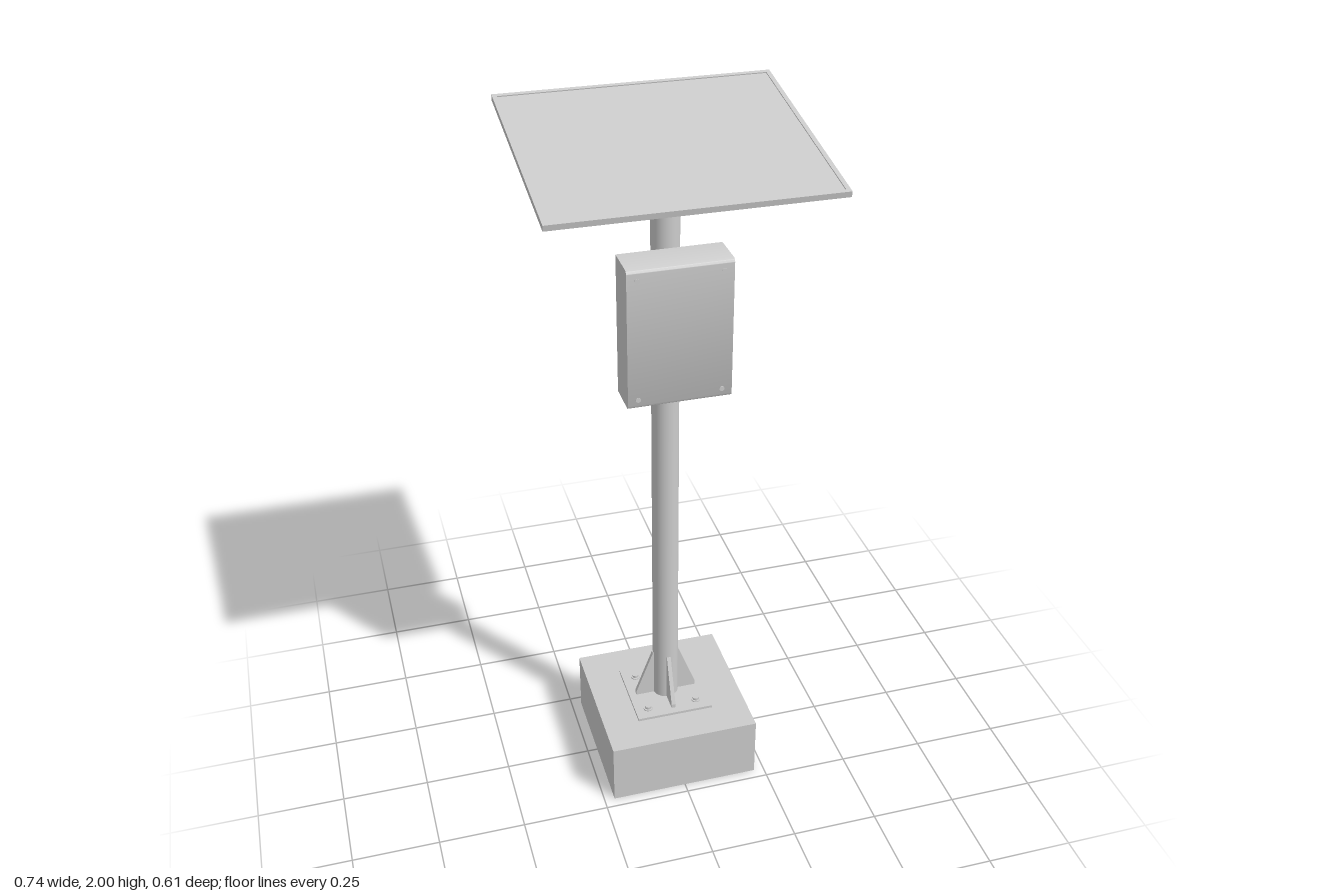
import * as THREE from 'three';
import { toCreasedNormals } from 'three/addons/utils/BufferGeometryUtils.js';

const TILT = THREE.MathUtils.degToRad(10);
const material = new THREE.MeshStandardMaterial({ color: 0xcccccc });

function add(parent, name, geometry, x = 0, y = 0, z = 0) {
  const mesh = new THREE.Mesh(geometry, material);
  mesh.name = name;
  mesh.position.set(x, y, z);
  parent.add(mesh);
  return mesh;
}

const box = (w, h, d) => new THREE.BoxGeometry(w, h, d);
const disc = (r, h, sides = 16) => new THREE.CylinderGeometry(r, r, h, sides);

// Rectangle outline centred on the origin
function rectangle(Type, w, h) {
  return new Type([[-1, -1], [1, -1], [1, 1], [-1, 1]].map(([x, y]) => new THREE.Vector2(x * w / 2, y * h / 2)));
}

// Calls fn once for each corner of a w x h rectangle
function eachCorner(w, h, fn) {
  for (const x of [-1, 1]) for (const y of [-1, 1]) fn(x * w / 2, y * h / 2);
}

function createFooting() {
  const footing = new THREE.Group();
  footing.name = 'footing';
  add(footing, 'concreteBlock', box(0.44, 0.19, 0.44), 0, 0.095, 0);
  add(footing, 'basePlate', box(0.23, 0.008, 0.23), 0, 0.194, 0);

  // Anchor bolts with washers and hex nuts
  eachCorner(0.15, 0.15, (x, z) => {
    add(footing, 'washer', disc(0.014, 0.003, 24), x, 0.1995, z);
    add(footing, 'anchorNut', disc(0.01, 0.008, 6), x, 0.204, z);
  });

  // Four triangular gussets around the pole
  const outline = new THREE.Shape([[0.03, 0], [0.093, 0], [0.093, 0.012], [0.04, 0.152], [0.03, 0.152]]
    .map(([x, y]) => new THREE.Vector2(x, y)));
  const gusset = new THREE.ExtrudeGeometry(outline, { depth: 0.012, bevelEnabled: false });
  gusset.translate(0, 0.198, -0.006);
  for (let i = 0; i < 4; i++) add(footing, 'gusset', gusset).rotation.y = i * Math.PI / 2;
  return footing;
}

function createControlBox() {
  const group = new THREE.Group();
  group.name = 'controlBox';

  // Side profile with softened front edges, extruded across the width
  const r = 0.01, z0 = 0.038, z1 = 0.143, y0 = 1.29, y1 = 1.68;
  const side = new THREE.Shape();
  side.moveTo(z0, y0);
  side.lineTo(z1 - r, y0);
  side.absarc(z1 - r, y0 + r, r, -Math.PI / 2, 0);
  side.lineTo(z1, y1 - r);
  side.absarc(z1 - r, y1 - r, r, 0, Math.PI / 2);
  side.lineTo(z0, y1);
  const body = new THREE.ExtrudeGeometry(side, { depth: 0.28, bevelEnabled: false, curveSegments: 6 });
  body.translate(0, 0, -0.14).rotateY(-Math.PI / 2);
  add(group, 'enclosure', toCreasedNormals(body, 0.6));

  // Cover screws
  eachCorner(0.225, 0.335, (x, y) => {
    add(group, 'coverScrew', disc(0.007, 0.004), x, 1.483 + y, z1).rotation.x = Math.PI / 2;
  });

  // Clamp band on the pole with two bolts at the back
  add(group, 'clampBand', disc(0.041, 0.09, 40), 0, 1.515, 0);
  for (const y of [1.49, 1.54]) {
    add(group, 'clampBolt', disc(0.008, 0.01, 12), 0, y, -0.043).rotation.x = Math.PI / 2;
  }
  return group;
}

function createPanel() {
  const panel = new THREE.Group();
  panel.name = 'solarPanel';
  const w = 0.742, d = 0.615, t = 0.0155, rim = 0.012;

  // Rim frame with the slab set slightly below its top and bottom
  const outline = rectangle(THREE.Shape, w, d);
  outline.holes.push(rectangle(THREE.Path, w - 2 * rim, d - 2 * rim));
  const frame = new THREE.ExtrudeGeometry(outline, { depth: t, bevelEnabled: false });
  frame.translate(0, 0, -t / 2).rotateX(-Math.PI / 2);
  add(panel, 'panelFrame', frame);
  add(panel, 'panelSlab', box(w - 2 * rim, 0.009, d - 2 * rim), 0, 0.0005, 0);

  // Mounting plate and its bolts underneath
  add(panel, 'mountingPlate', box(0.235, 0.005, 0.235), 0, -0.006, 0);
  eachCorner(0.19, 0.19, (x, z) => add(panel, 'mountingBolt', disc(0.006, 0.004, 12), x, -0.0095, z));

  panel.position.y = 1.939;
  panel.rotation.x = TILT;
  return panel;
}

// Collar whose top is cut to the slope of the panel
function createCollar() {
  const geometry = disc(0.049, 0.058, 40);
  const p = geometry.attributes.position;
  for (let i = 0; i < p.count; i++) {
    if (p.getY(i) > 0) p.setY(i, p.getY(i) - p.getZ(i) * Math.tan(TILT));
  }
  return geometry;
}

export function createModel() {
  const model = new THREE.Group();
  model.name = 'solarPole';
  model.add(createFooting(), createControlBox(), createPanel());
  add(model, 'pole', disc(0.038, 1.71, 40), 0, 1.053, 0);
  add(model, 'poleCollar', createCollar(), 0, 1.904, 0);
  return model;
}
